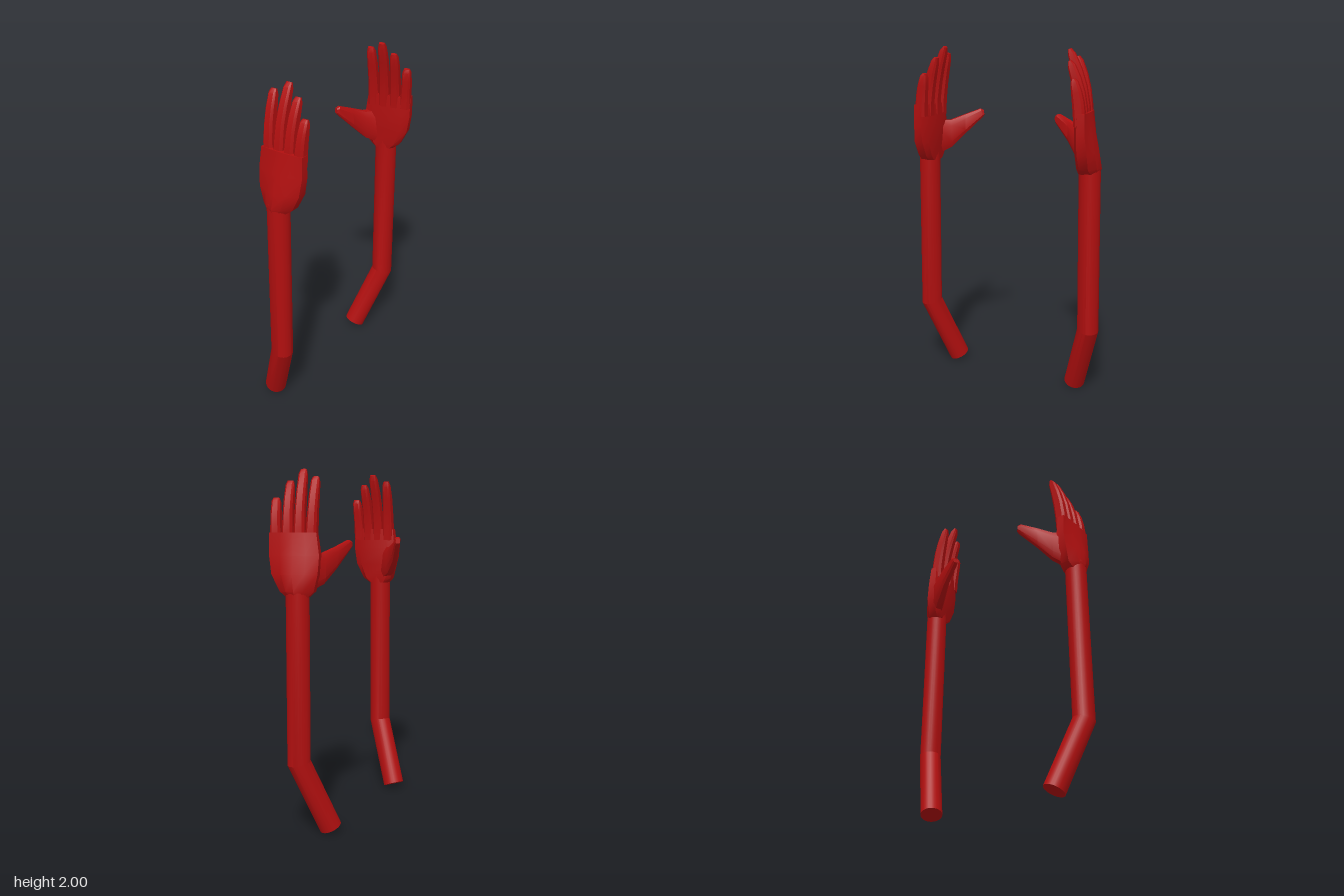
import * as THREE from 'three';
import { toCreasedNormals } from 'three/addons/utils/BufferGeometryUtils.js';

const V = (x, y, z) => new THREE.Vector3(x, y, z);
const lerp = THREE.MathUtils.lerp;
const material = new THREE.MeshStandardMaterial({ color: 0xb00f0f });

// All parts are laid out for the right arm; the left one is mirrored and
// turned a little about its own upright axis.
const AXIS_X = 0.53, AXIS_Z = 0.045, TURN = THREE.MathUtils.degToRad(12);
function toLeft(v) {
  const p = v.x + AXIS_X, w = v.z - AXIS_Z, c = Math.cos(TURN), s = Math.sin(TURN);
  return V(AXIS_X - (p * c - w * s), v.y, AXIS_Z + w * c + p * s);
}

// Capped skin over rings that run anticlockwise seen from the last ring's end.
function loft(name, rings, left, crease = 0.5) {
  if (left) rings = rings.map(r => r.map(toLeft).reverse());
  const n = rings[0].length, last = rings.length - 1, pts = rings.flat(), index = [];
  for (let i = 0; i < last; i++) {
    for (let j = 0; j < n; j++) {
      const a = i * n + j, b = i * n + (j + 1) % n;
      index.push(a, b, b + n, a, b + n, a + n);
    }
  }
  for (const end of [0, last]) {
    const centre = pts.length, mid = V(0, 0, 0);
    rings[end].forEach(p => mid.addScaledVector(p, 1 / n));
    pts.push(mid);
    for (let j = 0; j < n; j++) {
      const a = end * n + j, b = end * n + (j + 1) % n;
      if (end) index.push(centre, a, b);
      else index.push(centre, b, a);
    }
  }
  const geo = new THREE.BufferGeometry().setFromPoints(pts);
  geo.setIndex(index);
  const mesh = new THREE.Mesh(toCreasedNormals(geo, crease), material);
  mesh.name = name;
  return mesh;
}

// Squarish eight-sided section spanned by two half axes.
function section(centre, a, b) {
  const soft = t => Math.sign(t) * Math.abs(t) ** 0.6;
  return Array.from({ length: 8 }, (_, i) => {
    const t = (i + 0.5) * Math.PI / 4;
    return centre.clone().addScaledVector(a, soft(Math.cos(t))).addScaledVector(b, soft(Math.sin(t)));
  });
}

// Round arm with a mitred bend at the elbow.
function armTube(left) {
  const base = V(-0.435, 0.026, -0.108), elbow = V(-0.54, 0.42, 0.04), wrist = V(-0.53, 1.38, 0.042);
  const lower = elbow.clone().sub(base).normalize();
  const upper = wrist.clone().sub(elbow).normalize();
  const mitre = lower.clone().add(upper).normalize();
  const slide = (p, dir, at, normal) =>
    p.clone().addScaledVector(dir, at.clone().sub(p).dot(normal) / dir.dot(normal));
  const rings = [[], [], []];
  for (let i = 0; i < 24; i++) {
    const t = i / 24 * Math.PI * 2;
    const top = wrist.clone().add(V(0.061 * Math.cos(t), 0, -0.064 * Math.sin(t)));
    const bend = slide(top, upper, elbow, mitre);
    rings[0].push(slide(bend, lower, base, lower));
    rings[1].push(bend);
    rings[2].push(top);
  }
  return loft('arm', rings, left, 0.36);
}

// Palm: flat inside, domed back. Rows: y, back x, edge x, inner x, z from, z to.
function palm(left) {
  const rows = [
    [1.33, -0.585, -0.55, -0.475, -0.02, 0.10],
    [1.36, -0.598, -0.54, -0.47, -0.05, 0.14],
    [1.45, -0.585, -0.54, -0.465, -0.072, 0.185],
    [1.55, -0.56, -0.53, -0.463, -0.078, 0.2],
    [1.67, -0.534, -0.526, -0.468, -0.062, 0.2],
  ];
  const rings = rows.map(([y, back, edge, inner, z0, z1]) => {
    const z = f => lerp(z0, z1, f), side = inner - 0.02, slope = lerp(edge, back, 0.7);
    return [
      V(inner, y, z(0.15)), V(side, y, z0), V(edge, y, z0), V(slope, y, z(0.25)), V(back, y, z(0.5)),
      V(slope, y, z(0.75)), V(edge, y, z1), V(side, y, z1), V(inner, y, z(0.85)),
    ];
  });
  return loft('palm', rings, left, 0.6);
}

// Finger curling inwards as it rises.
function finger(name, z0, z1, top, curl, left) {
  const steps = [[0, 0.032, 0.034], [0.25, 0.031, 0.034], [0.5, 0.028, 0.033],
    [0.72, 0.027, 0.029], [0.93, 0.024, 0.021], [1, 0.017, 0.009]];
  const rings = steps.map(([f, wide, thick]) => {
    const rise = top - 1.6, tilt = Math.atan2(2 * curl * f, rise);
    const centre = V(-0.496 + curl * f * f, 1.6 + rise * f, lerp(z0, z1, f));
    return section(centre, V(Math.cos(tilt), -Math.sin(tilt), 0).multiplyScalar(thick), V(0, 0, -wide));
  });
  return loft(name, rings, left);
}

// Thumb with its web: tall and thin, tapering to the tip.
function thumb(left) {
  const stations = [
    [V(-0.505, 1.56, -0.02), V(-0.505, 1.355, 0), 0.04],
    [V(-0.45, 1.56, -0.075), V(-0.445, 1.395, -0.068), 0.035],
    [V(-0.38, 1.592, -0.13), V(-0.38, 1.475, -0.125), 0.025],
    [V(-0.3, 1.626, -0.177), V(-0.288, 1.575, -0.179), 0.019],
    [V(-0.284, 1.618, -0.187), V(-0.28, 1.588, -0.187), 0.014],
  ];
  const across = V(0.6, 0, 0.8);
  const rings = stations.map(([up, low, t]) => section(
    up.clone().lerp(low, 0.5), up.clone().sub(low).multiplyScalar(0.52), across.clone().multiplyScalar(t)));
  return loft('thumb', rings, left);
}

function limb(left) {
  const hand = new THREE.Group();
  hand.name = left ? 'leftHand' : 'rightHand';
  hand.add(
    palm(left),
    thumb(left),
    finger('indexFinger', -0.028, -0.037, 1.96, 0.06, left),
    finger('middleFinger', 0.036, 0.04, 2.0, 0.09, left),
    finger('ringFinger', 0.102, 0.108, 1.94, 0.072, left),
    finger('littleFinger', 0.166, 0.177, 1.85, 0.035, left),
  );
  const group = new THREE.Group();
  group.name = left ? 'leftArm' : 'rightArm';
  group.add(armTube(left), hand);
  return group;
}

export function createModel() {
  const model = new THREE.Group();
  model.name = 'pairOfArms';
  model.add(limb(false), limb(true));
  return model;
}
